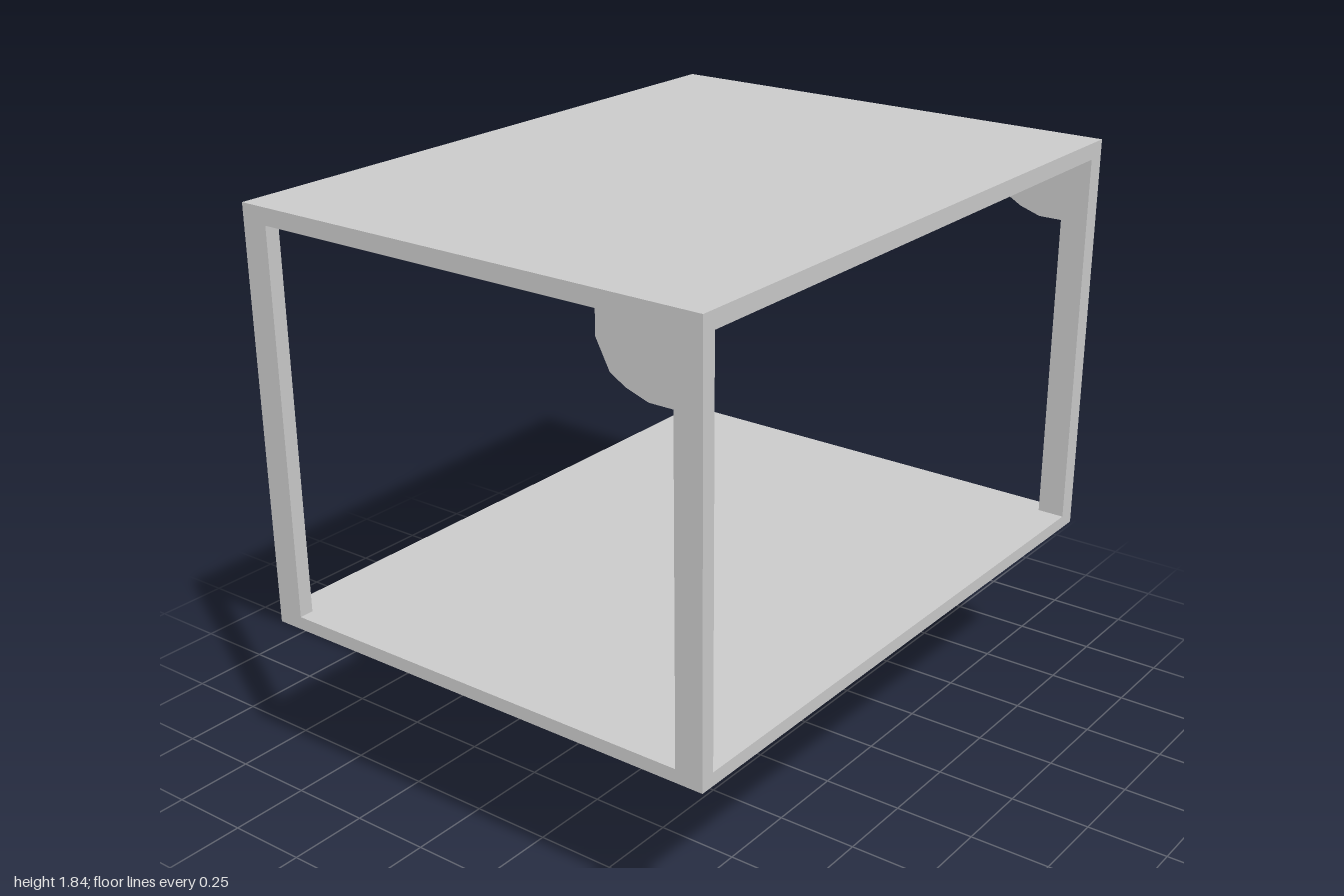
import * as THREE from 'three';

const HALF_W = 0.765, FLOOR_Y = 0.575, FLOOR_TOP = 0.615, ROOF_BOTTOM = 1.785, ROOF_Y = 1.835;
const POST_W = 0.085, FRONT_DEPTH = 0.045, BACK_DEPTH = 0.06;

export function createModel() {
  const group = new THREE.Group();
  const material = new THREE.MeshStandardMaterial({ color: 0xcccccc });

  const add = (name, geometry, x, y, z) => {
    const mesh = new THREE.Mesh(geometry, material);
    mesh.name = name;
    mesh.position.set(x, y, z);
    group.add(mesh);
  };
  // Box given by its lower and upper corners
  const addBox = (name, [x0, y0, z0], [x1, y1, z1]) =>
    add(name, new THREE.BoxGeometry(x1 - x0, y1 - y0, z1 - z0),
      (x0 + x1) / 2, (y0 + y1) / 2, (z0 + z1) / 2);

  // Floor and roof slabs
  addBox('floor', [-HALF_W, FLOOR_Y, -1], [HALF_W, FLOOR_TOP, 1]);
  addBox('roof', [-HALF_W, ROOF_BOTTOM, -1], [HALF_W, ROOF_Y, 1]);

  // Rounded corner bracket outline, faceted along its curve
  const bracket = new THREE.Shape([
    [0.68, ROOF_BOTTOM], [0.45, ROOF_BOTTOM], [0.45, 1.715], [0.492, 1.635],
    [0.54, 1.607], [0.607, 1.585], [0.68, 1.585],
  ].map(([x, y]) => new THREE.Vector2(x, y)));

  // Front and back ends: two corner posts and one bracket each
  const ends = [
    { name: 'front', z0: 1 - FRONT_DEPTH, z1: 1 },
    { name: 'back', z0: -1, z1: -1 + BACK_DEPTH },
  ];
  for (const { name, z0, z1 } of ends) {
    addBox(name + 'LeftPost', [HALF_W - POST_W, FLOOR_TOP, z0], [HALF_W, ROOF_BOTTOM, z1]);
    addBox(name + 'RightPost', [-HALF_W, FLOOR_TOP, z0], [-HALF_W + POST_W, ROOF_BOTTOM, z1]);
    add(name + 'CornerBracket',
      new THREE.ExtrudeGeometry(bracket, { depth: z1 - z0, bevelEnabled: false }), 0, 0, z0);
  }

  // Round pedestal, set slightly behind the centre
  add('pedestal', new THREE.CylinderGeometry(0.218, 0.218, FLOOR_Y, 48), 0, FLOOR_Y / 2, -0.035);

  return group;
}
